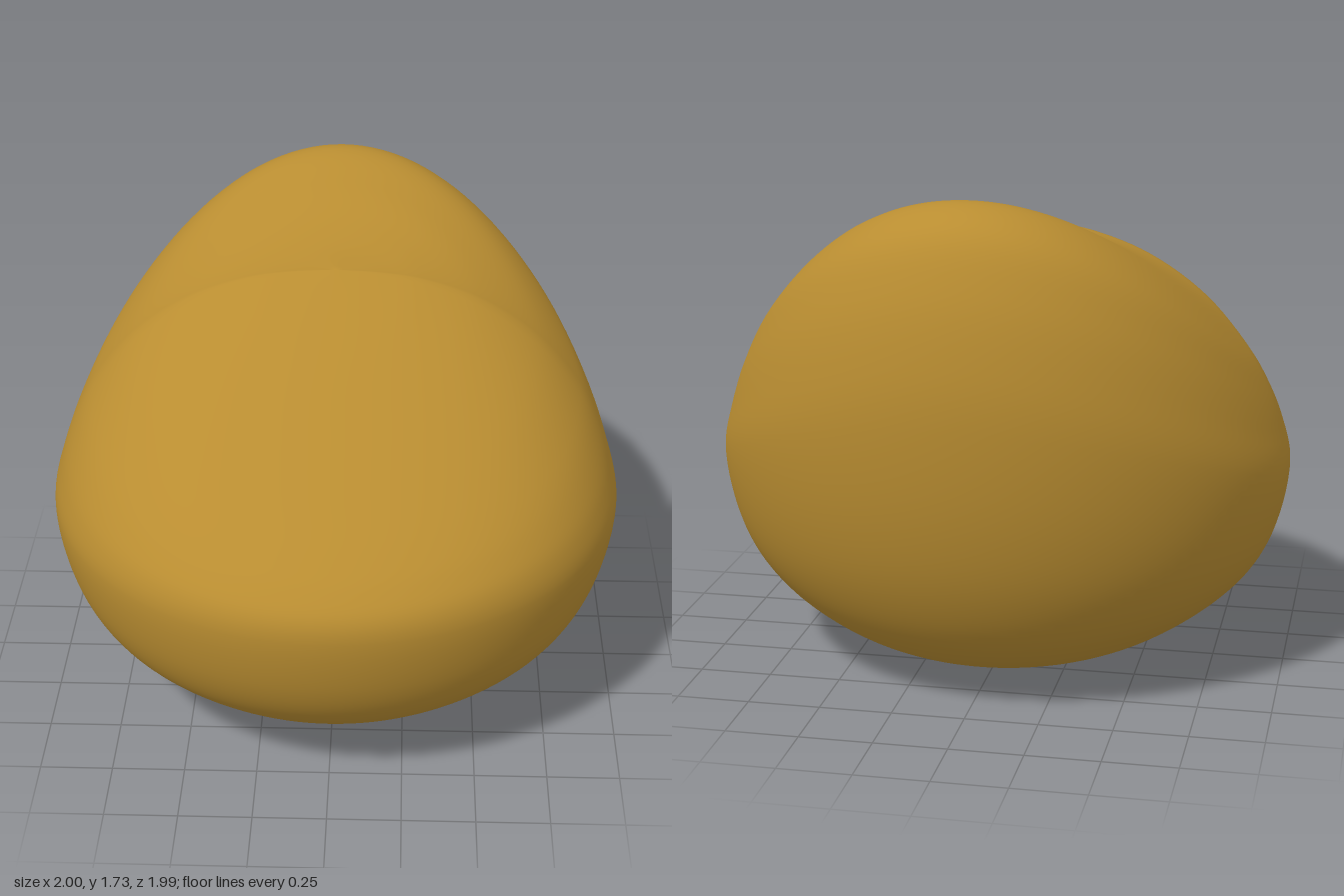
import * as THREE from 'three';
import { mergeVertices } from 'three/addons/utils/BufferGeometryUtils.js';

// Meridian profile as [radius, height] pairs from the underside to the crown
const profile = (pts) =>
  new THREE.CatmullRomCurve3(pts.map(([r, y]) => new THREE.Vector3(r, y, 0)), false, 'centripetal');

// Rounded flank
const side = profile([
  [0, 0], [0.2, 0.012], [0.4, 0.05], [0.6, 0.13], [0.8, 0.27], [0.9, 0.38], [0.965, 0.52], [1, 0.73],
  [0.968, 0.87], [0.92, 1.0], [0.85, 1.13], [0.7, 1.31], [0.5, 1.45], [0.3, 1.525], [0.15, 1.55], [0, 1.56],
]);
// Straight sloping seat with a tight front lip
const front = profile([
  [0, 0], [0.2, 0.012], [0.4, 0.04], [0.6, 0.11], [0.8, 0.25], [0.9, 0.36], [0.965, 0.5], [1, 0.7],
  [0.985, 0.78], [0.93, 0.85], [0.85, 0.92], [0.7, 1.035], [0.5, 1.19], [0.3, 1.345], [0.15, 1.455], [0, 1.56],
]);
// Raised backrest hump
const back = profile([
  [0, 0], [0.2, 0.015], [0.4, 0.05], [0.6, 0.14], [0.75, 0.27], [0.87, 0.47], [0.95, 0.73], [0.99, 1.05],
  [0.985, 1.25], [0.94, 1.48], [0.85, 1.66], [0.7, 1.73], [0.5, 1.68], [0.3, 1.61], [0.15, 1.575], [0, 1.56],
]);

export function createModel() {
  const group = new THREE.Group();
  group.name = 'beanBag';

  const fabric = new THREE.MeshStandardMaterial({ color: 0xb98d31 });
  fabric.name = 'mustardFabric';

  // A sphere whose meridians blend from flank to seat (front) or to backrest (rear)
  const geo = new THREE.SphereGeometry(1, 128, 90);
  const pos = geo.attributes.position;
  const uv = geo.attributes.uv;
  const a = new THREE.Vector3();
  const b = new THREE.Vector3();
  for (let i = 0; i < pos.count; i++) {
    const angle = uv.getX(i) * Math.PI * 2;
    const t = THREE.MathUtils.clamp(uv.getY(i), 0, 1);
    const c = Math.sin(angle);
    side.getPoint(t, a);
    (c > 0 ? front : back).getPoint(t, b);
    a.lerp(b, c > 0 ? c : Math.pow(-c, 1.7));
    pos.setXYZ(i, -Math.cos(angle) * a.x, a.y, c * a.x);
  }

  // Weld the seam so the shading is smooth all round
  geo.deleteAttribute('uv');
  geo.deleteAttribute('normal');
  const smooth = mergeVertices(geo, 1e-5);
  smooth.computeVertexNormals();

  const cushion = new THREE.Mesh(smooth, fabric);
  cushion.name = 'cushion';
  group.add(cushion);
  return group;
}
